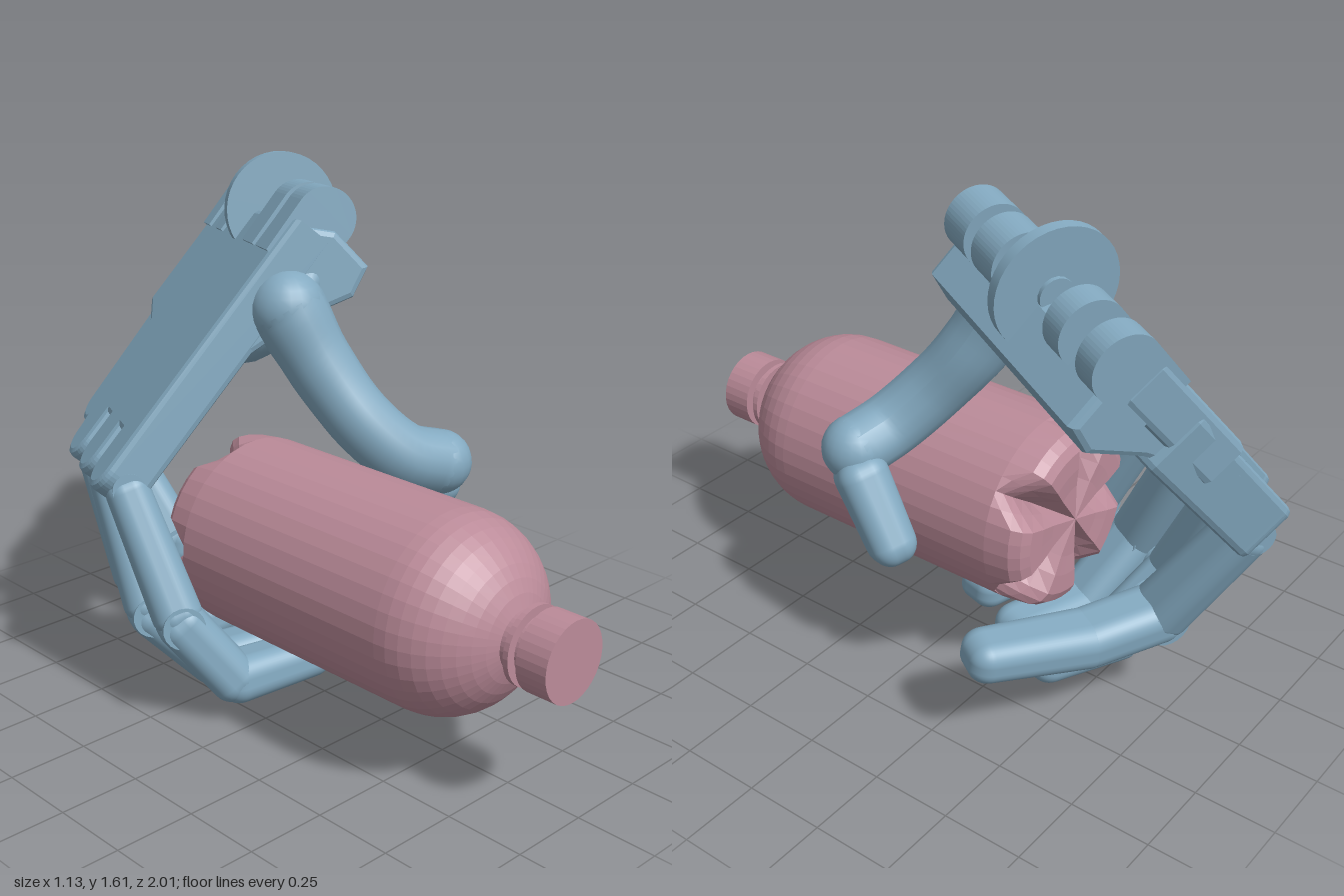
import * as THREE from 'three';
import { RoundedBoxGeometry } from 'three/addons/geometries/RoundedBoxGeometry.js';

const V = (p) => new THREE.Vector3(...p);
const handMat = new THREE.MeshStandardMaterial({ color: 0x84aac1 });
const bottleMat = new THREE.MeshStandardMaterial({ color: 0xbb8b99, flatShading: true });

// Palm frame: x runs to the wrist, y across to the little finger, z out of the back of the hand
const U = V([0.61, 0.755, 0.226]).normalize();
const N = U.clone().cross(V([0.44, -0.1, -0.89])).normalize();
const T = N.clone().cross(U);

function add(parent, name, geometry, material = handMat) {
  const mesh = new THREE.Mesh(geometry, material);
  mesh.name = name;
  parent.add(mesh);
  return mesh;
}

// Rounded, tapered bar between two joints, its width lying along the knuckle axis
function phalanx(parent, name, from, to, w0, w1, overlap = 0.055) {
  const a = V(from), b = V(to), length = a.distanceTo(b) + 2 * overlap;
  const geo = new RoundedBoxGeometry(w0, length, w0 * 0.84, 5, w0 * 0.34);
  const pos = geo.attributes.position;
  for (let i = 0; i < pos.count; i++) {
    const k = THREE.MathUtils.lerp(1, w1 / w0, pos.getY(i) / length + 0.5);
    pos.setX(i, pos.getX(i) * k);
    pos.setZ(i, pos.getZ(i) * k);
  }
  const y = b.clone().sub(a).normalize();
  const z = T.clone().cross(y).normalize();
  const x = y.clone().cross(z);
  geo.applyMatrix4(new THREE.Matrix4().makeBasis(x, y, z).setPosition(a.add(b).multiplyScalar(0.5)));
  add(parent, name, geo);
}

// Hinge pin along the knuckle axis
function pin(parent, name, at, radius, length) {
  const mesh = add(parent, name, new THREE.CylinderGeometry(radius, radius, length, 20));
  mesh.quaternion.setFromUnitVectors(new THREE.Vector3(0, 1, 0), T);
  mesh.position.set(...at);
}

function finger(name, joints, w) {
  const g = new THREE.Group();
  g.name = name;
  phalanx(g, 'proximalSegment', joints[0], joints[1], w * 0.86, w, 0.03);
  phalanx(g, 'middleSegment', joints[1], joints[2], w, w * 0.97);
  phalanx(g, 'fingertip', joints[2], joints[3], w, w * 0.86);
  pin(g, 'knucklePin', joints[0], 0.05, w * 0.75);
  pin(g, 'middlePin', joints[1], 0.065, w * 0.85);
  return g;
}

// Tube whose radius changes along its path
function taperedTube(points, radii) {
  const path = new THREE.CatmullRomCurve3(points.map(V));
  const seg = 24, sides = 16;
  const geo = new THREE.TubeGeometry(path, seg, 1, sides);
  const pos = geo.attributes.position, p = new THREE.Vector3();
  for (let i = 0; i < pos.count; i++) {
    const t = Math.floor(i / (sides + 1)) / seg, f = t * (radii.length - 1);
    const k = Math.min(Math.floor(f), radii.length - 2);
    const r = THREE.MathUtils.lerp(radii[k], radii[k + 1], THREE.MathUtils.smoothstep(f - k, 0, 1));
    const c = path.getPointAt(t);
    p.fromBufferAttribute(pos, i).sub(c).multiplyScalar(r).add(c);
    pos.setXYZ(i, p.x, p.y, p.z);
  }
  geo.computeVertexNormals();
  return geo;
}

function ball(parent, name, at, r) {
  add(parent, name, new THREE.SphereGeometry(r, 20, 14)).position.set(...at);
}

function makePalm() {
  const palm = new THREE.Group();
  palm.name = 'palm';
  palm.applyMatrix4(new THREE.Matrix4().makeBasis(U, T, N).setPosition(-0.55, 0.77, -0.36));

  const slab = (name, shape, thickness, top) => {
    const geo = new THREE.ExtrudeGeometry(shape, {
      depth: thickness - 0.04, bevelSize: 0.02, bevelOffset: -0.02, bevelThickness: 0.02, bevelSegments: 2, curveSegments: 10,
    });
    add(palm, name, geo.translate(0, 0, top - thickness + 0.02));
  };

  // Back plate with three rounded knuckle lobes and slots between them
  const plate = new THREE.Shape();
  plate.moveTo(0.95, 0);
  for (const b of [0.08, 0.285, 0.49]) {
    plate.lineTo(b > 0.1 ? 0.13 : 0.03, b - 0.083);
    plate.absarc(0.03, b, 0.083, -Math.PI / 2, Math.PI / 2, true);
    if (b < 0.4) plate.lineTo(0.13, b + 0.083);
  }
  plate.lineTo(0.44, 0.67);
  plate.lineTo(0.5, 0.83);
  plate.lineTo(0.92, 0.83);
  slab('backPlate', plate, 0.145, 0.005);

  // Separate strut that carries the little finger
  const strut = new THREE.Shape();
  strut.moveTo(0.7, 0.62);
  strut.lineTo(0.13, 0.61);
  strut.absarc(0.13, 0.695, 0.085, -Math.PI / 2, Math.PI / 2, true);
  strut.lineTo(0.7, 0.84);
  slab('littleFingerStrut', strut, 0.19, -0.02);

  // Wrist block, extruded across the hand, deepest at its lower lip
  const side = new THREE.Shape([[0.38, 0.05], [0.93, 0.01], [0.99, 0.12], [0.97, 0.27], [0.87, 0.29], [0.72, 0.2], [0.52, 0.13]]
    .map(([x, y]) => new THREE.Vector2(x, y)));
  const block = new THREE.ExtrudeGeometry(side, { depth: 0.77, bevelSize: 0.02, bevelOffset: -0.02, bevelThickness: 0.02, bevelSegments: 2 });
  add(palm, 'wristBlock', block.rotateX(-Math.PI / 2).translate(0, 0.02, 0));

  // Fleshy mound at the thumb root
  const mound = add(palm, 'thumbMound', new THREE.SphereGeometry(1, 24, 16));
  mound.scale.set(0.25, 0.26, 0.11);
  mound.position.set(0.74, 0.23, -0.15);

  // Wrist hinge lugs: rounded bars ending in a half cylinder
  for (const [b, width] of [[0.075, 0.12], [0.24, 0.12], [0.62, 0.08], [0.785, 0.08]]) {
    const lug = new THREE.Shape();
    lug.moveTo(0.82, -0.015);
    lug.lineTo(1, -0.02);
    lug.absarc(1, 0.075, 0.095, -Math.PI / 2, Math.PI / 2, false);
    lug.lineTo(0.82, 0.17);
    const geo = new THREE.ExtrudeGeometry(lug, { depth: width, bevelEnabled: false, curveSegments: 14 });
    add(palm, 'wristLug', geo.rotateX(-Math.PI / 2).translate(0, b - width / 2, 0));
  }
  // Tension disc and its short axle
  add(palm, 'wristDisc', new THREE.CylinderGeometry(0.18, 0.18, 0.035, 40)).position.set(0.98, 0.42, -0.06);
  add(palm, 'discAxle', new THREE.CylinderGeometry(0.05, 0.05, 0.2, 16)).position.set(0.98, 0.35, -0.07);
  return palm;
}

function makeThumb() {
  const thumb = new THREE.Group();
  thumb.name = 'thumb';
  const path = [[0, 1.22, -0.16], [0.06, 1.03, -0.06], [0.12, 0.88, 0.05], [0.21, 0.78, 0.13], [0.325, 0.74, 0.17]];
  add(thumb, 'thumbBase', taperedTube(path, [0.118, 0.105, 0.1, 0.1, 0.1]));
  ball(thumb, 'thumbRoot', path[0], 0.118);
  ball(thumb, 'thumbJoint', path[4], 0.1);
  phalanx(thumb, 'thumbTip', [0.35, 0.68, 0.13], [0.355, 0.475, 0.01], 0.19, 0.165);
  return thumb;
}

function makeBottle() {
  const bottle = new THREE.Group();
  bottle.name = 'bottle';
  bottle.position.set(-0.06, 0.5, 0);
  const turn = (name, pts, sides) => add(bottle, name,
    new THREE.LatheGeometry(pts.map(([r, z]) => new THREE.Vector2(r, z)), sides).rotateX(Math.PI / 2), bottleMat);

  // Body with a rounded base and a domed shoulder
  const profile = [[0, -0.36], [0.06, -0.36], [0.12, -0.36], [0.18, -0.365], [0.24, -0.365], [0.27, -0.35], [0.29, -0.32], [0.3, -0.24], [0.3, 0.2]];
  for (let i = 0; i <= 9; i++) {
    const a = (i / 9) * 1.266;
    profile.push([0.3 * Math.cos(a), 0.56 + 0.275 * Math.sin(a)]);
  }
  profile.push([0.09, 0.91]);
  const body = turn('bottleBody', profile, 40);

  // Five wedge grooves pressed into the base
  const pos = body.geometry.attributes.position;
  for (let i = 0; i < pos.count; i++) {
    const x = pos.getX(i), y = pos.getY(i), z = pos.getZ(i);
    if (z > -0.25) continue;
    const turnPart = Math.atan2(y, x) / (Math.PI * 0.4);
    const off = Math.abs(turnPart - Math.floor(turnPart) - 0.5);
    const depth = Math.max(0, 1 - off / 0.25) * Math.min(1, Math.hypot(x, y) / 0.12);
    pos.setZ(i, z + 0.1 * depth);
  }
  body.geometry.computeVertexNormals();

  turn('neckRing', [[0.08, 0.855], [0.118, 0.855], [0.118, 0.872], [0.08, 0.872]], 32);
  turn('cap', [[0, 0.9], [0.12, 0.9], [0.12, 1], [0, 1]], 32);
  return bottle;
}

export function createModel() {
  const model = new THREE.Group();
  model.name = 'handHoldingBottle';
  model.add(makeBottle(), makePalm(), makeThumb());
  model.add(
    finger('indexFinger', [[-0.46, 0.72, -0.38], [-0.43, 0.33, -0.18], [-0.3, 0.13, -0.09], [-0.03, 0.135, -0.04]], 0.18),
    finger('middleFinger', [[-0.38, 0.69, -0.57], [-0.38, 0.28, -0.39], [-0.21, 0.08, -0.3], [0.05, 0.095, -0.23]], 0.18),
    finger('ringFinger', [[-0.28, 0.67, -0.76], [-0.27, 0.28, -0.59], [-0.1, 0.12, -0.5], [0.19, 0.17, -0.43]], 0.18),
    finger('littleFinger', [[-0.11, 0.67, -0.9], [-0.03, 0.32, -0.68], [0.17, 0.29, -0.56], [0.45, 0.325, -0.4]], 0.18),
  );
  return model;
}
